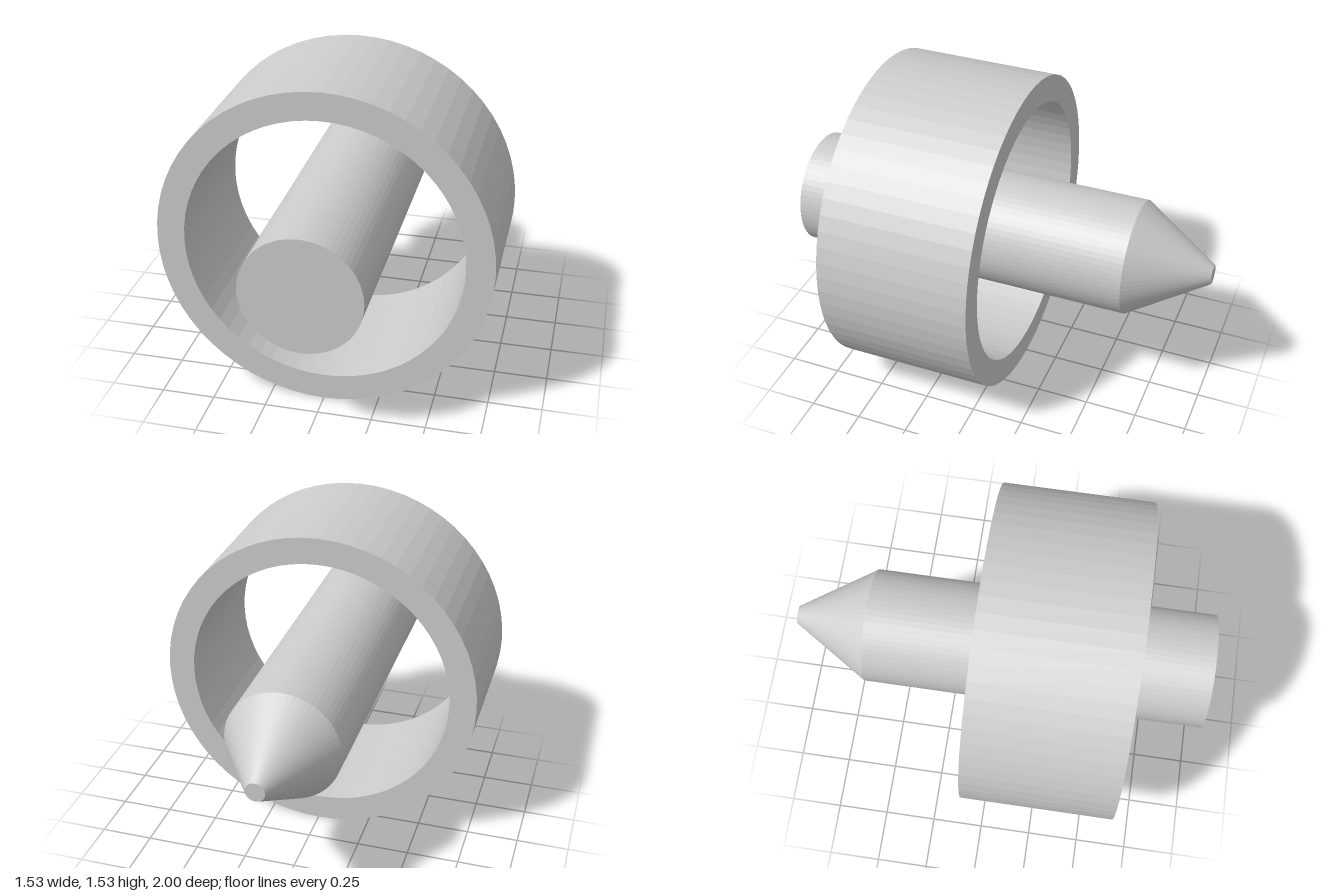
import * as THREE from 'three';

const AXIS_HEIGHT = 0.764;
const SEGMENTS = 64;

// Turned part: profile of [radius, z] pairs revolved around the z axis
function turned(name, profile, material) {
  const points = profile.map(([r, z]) => new THREE.Vector2(r, z));
  const geometry = new THREE.LatheGeometry(points, SEGMENTS);
  geometry.rotateX(Math.PI / 2);
  const mesh = new THREE.Mesh(geometry, material);
  mesh.name = name;
  mesh.position.y = AXIS_HEIGHT;
  return mesh;
}

export function createModel() {
  const model = new THREE.Group();
  model.name = 'ringAndPin';

  const grey = new THREE.MeshStandardMaterial({ color: 0xcccccc, flatShading: true });
  grey.name = 'light grey';

  // Wide open ring
  model.add(turned('ring', [
    [0.636, -0.09], [0.764, -0.09], [0.764, 0.636], [0.636, 0.636], [0.636, -0.09],
  ], grey));

  // Central pin with a blunt conical tip at the back
  model.add(turned('pinShaft', [[0.273, -0.636], [0.273, 1], [0, 1]], grey));
  model.add(turned('pinTip', [[0, -1], [0.045, -1], [0.273, -0.636]], grey));

  return model;
}
